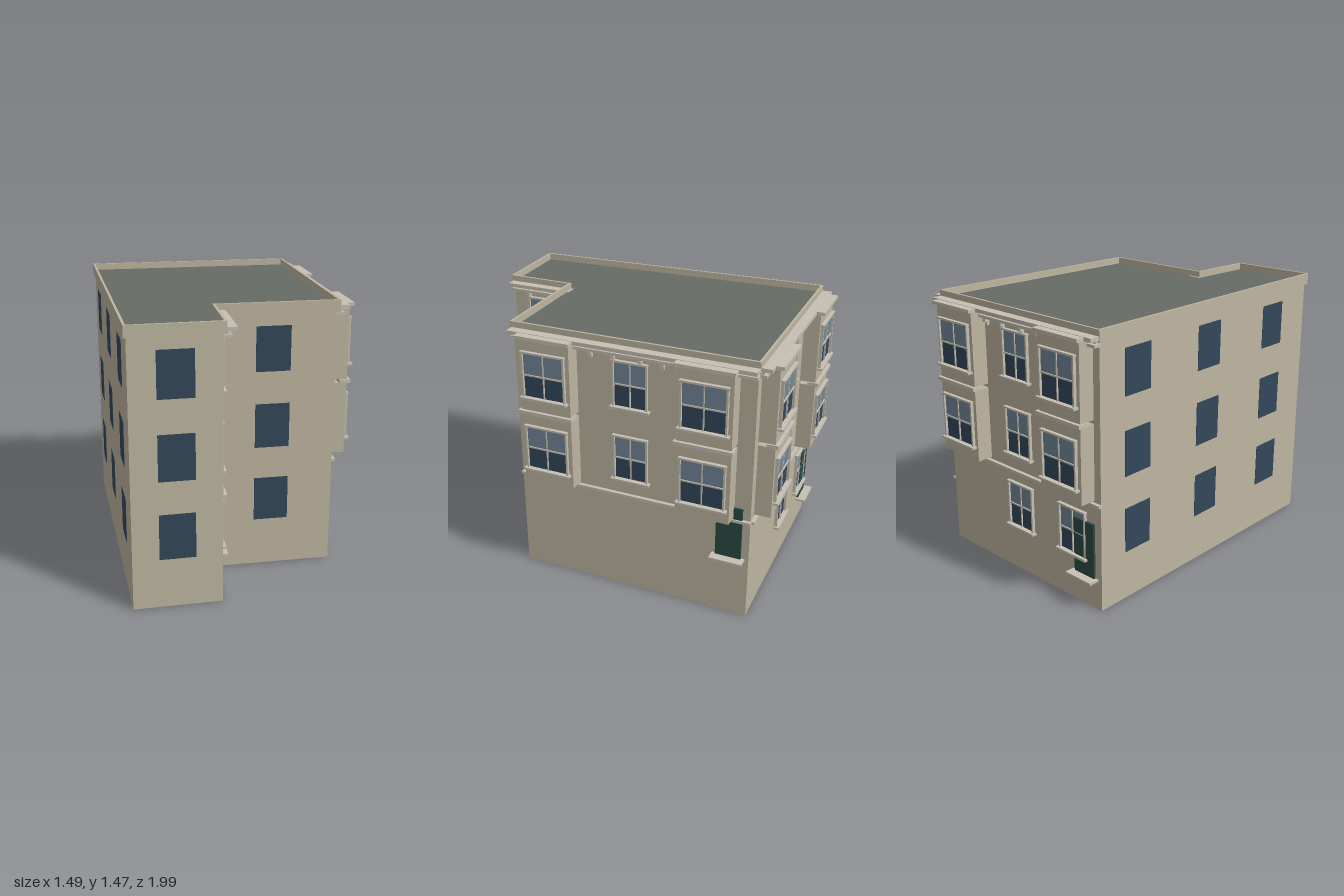
import * as THREE from 'three';

const mat = (color) => new THREE.MeshStandardMaterial({ color });

export function createModel() {
  const model = new THREE.Group();
  model.name = 'apartmentBuilding';
  const wall = mat(0xbeb6a0), trim = mat(0xc6c0b2), roofMat = mat(0x676b66);
  const glass = mat(0x33475a), paleGlass = mat(0x748898), green = mat(0x2b4a44);

  // Footprint corners as [x, z], going round with the outside on the same hand
  const A = [-0.425, 0.987], B = [0.03, 0.906], C = [-0.017, 0.532];
  const D = [0.635, 0.43], E = [0.458, -0.885], F = [-0.723, -0.705];
  const plan = [A, B, C, D, E, F];
  const FLOORS = [0.265, 0.683, 1.103];
  const WIN_H = 0.243;

  // Footprint pushed outward by a distance
  const normal = (p, q) => {
    const dx = q[0] - p[0], dz = q[1] - p[1], l = Math.hypot(dx, dz);
    return [-dz / l, dx / l];
  };
  const offsetPlan = (d) => plan.map((p, i) => {
    const n1 = normal(plan[(i + 5) % 6], p), n2 = normal(p, plan[(i + 1) % 6]);
    return [p[0] + d * (n1[0] + n2[0]), p[1] + d * (n1[1] + n2[1])];
  });
  const toPoints = (pts) => pts.map(([x, z]) => new THREE.Vector2(x, -z));
  const slab = (name, pts, y0, y1, material, hole) => {
    const shape = new THREE.Shape(toPoints(pts));
    if (hole) shape.holes.push(new THREE.Path(toPoints(hole)));
    const geo = new THREE.ExtrudeGeometry(shape, { depth: y1 - y0, bevelEnabled: false });
    geo.rotateX(-Math.PI / 2).translate(0, y0, 0);
    const mesh = new THREE.Mesh(geo, material);
    mesh.name = name;
    model.add(mesh);
  };

  // Main masses
  slab('walls', plan, 0, 1.41, wall);
  slab('roof', plan, 1.41, 1.435, roofMat);
  slab('parapet', offsetPlan(0.013), 1.41, 1.472, wall, plan);

  // Facade group: +x runs along the wall, +z points outward
  const facade = (name, p, q) => {
    const g = new THREE.Group();
    g.name = name;
    g.position.set(p[0], 0, p[1]);
    g.rotation.y = Math.atan2(p[1] - q[1], q[0] - p[0]);
    g.userData.length = Math.hypot(q[0] - p[0], q[1] - p[1]);
    model.add(g);
    return g;
  };

  // Box given by its ranges along the wall, up and outward
  const box = (parent, name, x0, x1, y0, y1, z0, z1, material) => {
    const mesh = new THREE.Mesh(new THREE.BoxGeometry(x1 - x0, y1 - y0, z1 - z0), material);
    mesh.position.set((x0 + x1) / 2, (y0 + y1) / 2, (z0 + z1) / 2);
    mesh.name = name;
    parent.add(mesh);
  };

  const plainWindow = (f, s, y) =>
    box(f, 'plainWindow', s - 0.093, s + 0.093, y, y + WIN_H, -0.003, 0.002, glass);

  // Sash window with frame, glazing bars, sill and head
  const sashWindow = (f, s, y, w, z = 0) => {
    const g = new THREE.Group();
    g.name = 'sashWindow';
    g.position.set(s, y, z);
    f.add(g);
    const h = WIN_H, r = w / 2, m = h / 2, t = 0.01;
    box(g, 'lowerGlass', -r, r, 0, m, -0.003, 0.003, glass);
    box(g, 'upperGlass', -r, r, m, h, -0.003, 0.006, paleGlass);
    for (const k of [-1, 1]) box(g, 'jamb', k * r - t / 2, k * r + t / 2, 0, h, 0, 0.017, trim);
    box(g, 'mullion', -0.003, 0.003, 0, h, 0, 0.011, trim);
    box(g, 'meetingRail', -r, r, m - 0.004, m + 0.004, 0, 0.012, trim);
    box(g, 'sill', -r - 0.017, r + 0.017, -0.012, 0, 0, 0.03, trim);
    box(g, 'head', -r - 0.008, r + 0.008, h, h + 0.01, 0, 0.02, trim);
  };

  // Two-storey projecting bay
  const bay = (f, s) => {
    const r = 0.146, d = 0.088;
    box(f, 'lowerBay', s - r, s + r, 0.6, 1.0, -0.01, d, wall);
    box(f, 'upperBay', s - r, s + r, 1.02, 1.42, -0.01, d, wall);
    box(f, 'bayBand', s - r - 0.01, s + r + 0.01, 1.0, 1.02, 0.045, d + 0.018, trim);
    box(f, 'bayCap', s - r - 0.01, s + r + 0.01, 1.42, 1.438, 0, d + 0.022, trim);
    for (const y of FLOORS.slice(1)) sashWindow(f, s, y, 0.238, d);
  };

  const door = (f, s, y) => {
    box(f, 'door', s - 0.07, s + 0.07, y, y + 0.3, -0.003, 0.012, green);
    box(f, 'doorstep', s - 0.09, s + 0.09, y - 0.012, y, 0, 0.058, trim);
  };

  // Cornice, moulding, belt course and brackets of an ornate wall
  const ornament = (f, brackets) => {
    const L = f.userData.length;
    box(f, 'cornice', -0.005, L + 0.012, 1.42, 1.44, 0, 0.066, trim);
    box(f, 'corniceBed', 0, L, 1.405, 1.42, 0, 0.025, trim);
    box(f, 'moulding', 0, L + 0.008, 1.388, 1.403, 0, 0.04, trim);
    box(f, 'beltCourse', 0, L + 0.005, 0.575, 0.59, 0, 0.02, trim);
    for (const s of brackets) {
      box(f, 'bracketTop', s - 0.01, s + 0.01, 1.365, 1.388, 0, 0.028, trim);
      box(f, 'bracketFoot', s - 0.008, s + 0.008, 1.347, 1.365, 0, 0.016, trim);
    }
  };

  // Plain walls
  for (const [name, p, q, spots] of [
    ['wingFront', A, B, [0.5]],
    ['mainFront', C, D, [0.49]],
    ['plainSide', F, A, [0.155, 0.48, 0.815]],
  ]) {
    const f = facade(name, p, q);
    for (const t of spots) for (const y of FLOORS) plainWindow(f, t * f.userData.length, y);
  }

  // Wing side with entrance
  const wingSide = facade('wingSide', B, C);
  ornament(wingSide, [0.1, 0.23, 0.31]);
  for (const y of FLOORS) sashWindow(wingSide, 0.19, y, 0.185);
  door(wingSide, 0.273, 0.17);

  // Long ornate side and back, each with two bays
  const bayWall = (name, p, q, bays, mid) => {
    const f = facade(name, p, q);
    ornament(f, [-0.215, -0.09, 0.06, 0.18, 0.26].map((o) => mid + o));
    bays.forEach((s) => bay(f, s));
    for (const y of FLOORS.slice(1)) sashWindow(f, mid, y, 0.185);
    return f;
  };
  const longSide = bayWall('longSide', D, E, [0.217, 1.093], 0.663);
  door(longSide, 1.216, 0.355);
  const back = bayWall('backSide', E, F, [0.205, 1.005], 0.595);
  for (const s of [0.595, 0.995]) sashWindow(back, s, FLOORS[0], 0.185);
  door(back, 1.08, 0.17);

  return model;
}
